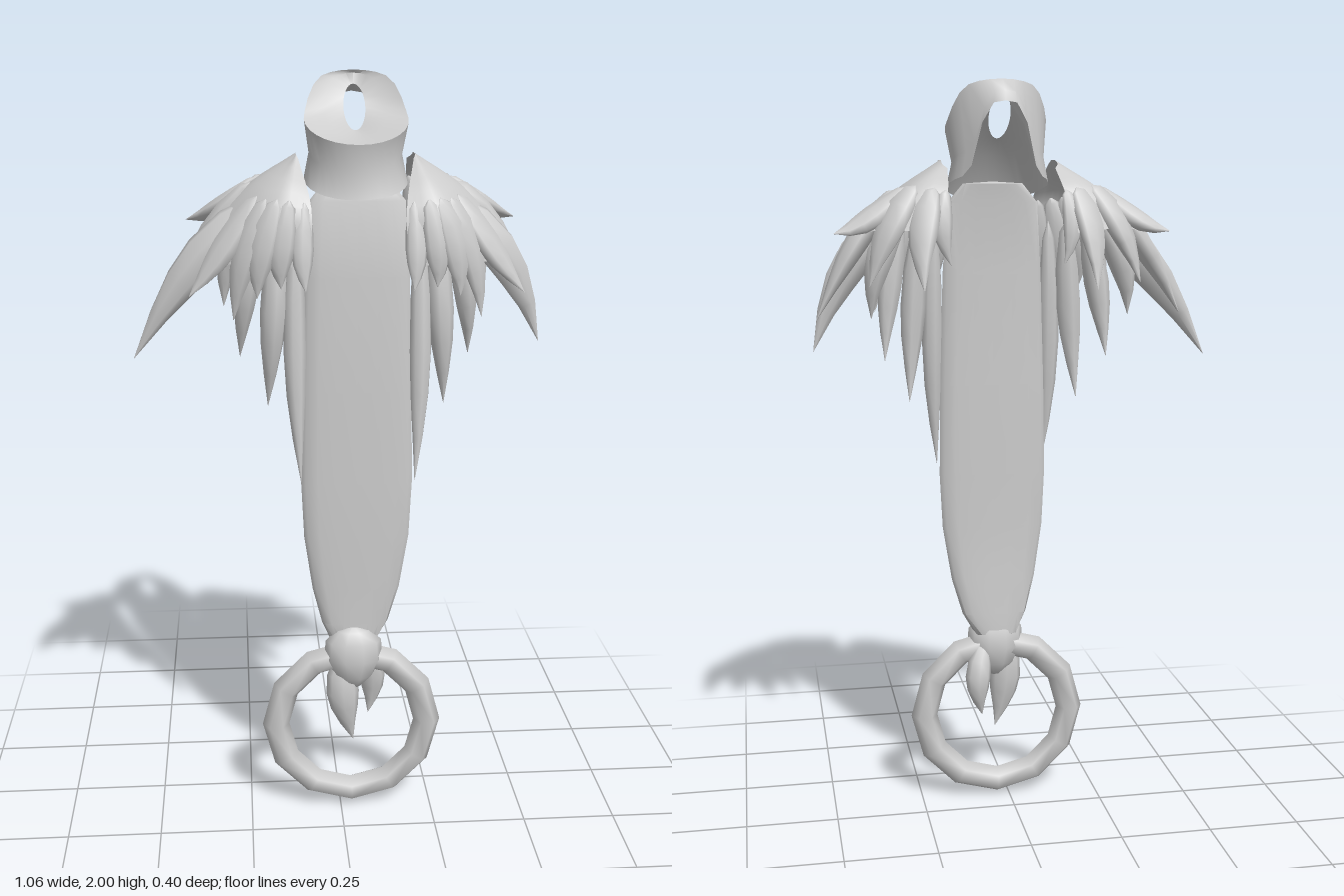
import * as THREE from 'three';
import { toCreasedNormals } from 'three/addons/utils/BufferGeometryUtils.js';

const V = (x, y, z) => new THREE.Vector3(x, y, z);
const grey = new THREE.MeshStandardMaterial({ color: 0xcccccc, side: THREE.DoubleSide });
grey.name = 'plain grey';

// Skin a list of equal-length rows of points
function loft(rows, closed = true, crease = 0) {
  const n = rows[0].length, index = [], m = closed ? n : n - 1;
  for (let i = 0; i < rows.length - 1; i++)
    for (let j = 0; j < m; j++) {
      const a = i * n + j, b = i * n + ((j + 1) % n);
      index.push(a, b, a + n, b, b + n, a + n);
    }
  const g = new THREE.BufferGeometry().setFromPoints(rows.flat());
  g.setIndex(index);
  g.computeVertexNormals();
  return crease ? toCreasedNormals(g, crease) : g;
}

function add(parent, geometry, name) {
  const mesh = new THREE.Mesh(geometry, grey);
  mesh.name = name;
  parent.add(mesh);
  return mesh;
}

// Curved, flattened leaf that swells then runs to a sharp point
function leaf(root, ctrl, tip, width, thick, out) {
  const curve = new THREE.QuadraticBezierCurve3(root, ctrl, tip);
  const profile = [[0, 0.02], [0.06, 0.55], [0.25, 0.92], [0.45, 1], [0.62, 0.84], [0.8, 0.48], [1, 0.01]];
  return loft(profile.map(([t, s]) => {
    const p = curve.getPoint(t), tan = curve.getTangent(t);
    const side = V().crossVectors(out, tan).normalize();
    const nrm = V().crossVectors(tan, side).normalize();
    return Array.from({ length: 8 }, (_, k) => {
      const a = k / 8 * Math.PI * 2;
      return p.clone().addScaledVector(side, Math.cos(a) * width * s).addScaledVector(nrm, Math.sin(a) * thick * s);
    });
  }));
}

// Shoulder drape columns, front to back: distance from the centre line, height, depth
const COLUMNS = [
  [[.145, 1.79, .06], [.118, 1.68, .16], [.122, 1.53, .185]],
  [[.15, 1.80, .05], [.19, 1.69, .165], [.235, 1.55, .17]],
  [[.15, 1.80, .04], [.25, 1.69, .13], [.33, 1.54, .13]],
  [[.15, 1.80, .03], [.28, 1.71, .04], [.40, 1.57, .04]],
  [[.15, 1.80, .00], [.27, 1.72, -.03], [.38, 1.61, -.05]],
  [[.15, 1.79, -.03], [.23, 1.73, -.10], [.31, 1.63, -.12]],
  [[.14, 1.78, -.05], [.15, 1.72, -.125], [.18, 1.62, -.15]],
];

// Feathers growing out of the drape: place along it, tip, half width
const RIM_FEATHERS = [
  [.04, [.135, 1.48, .20], .028], [.13, [.195, 1.485, .18], .036], [.21, [.255, 1.46, .17], .04],
  [.29, [.315, 1.40, .14], .04], [.37, [.425, 1.46, .135], .042], [.60, [.48, 1.40, -.05], .055],
  [.74, [.435, 1.62, -.10], .042], [.82, [.35, 1.49, -.13], .045], [.93, [.22, 1.48, -.20], .04],
  [.99, [.145, 1.54, -.145], .026],
];

// Feathers hanging beneath it: root, bend, tip, half width
const UNDER_FEATHERS = [
  [[.155, 1.64, .11], [.17, 1.25, .135], [.148, .97, .16], .029],
  [[.20, 1.64, .09], [.215, 1.38, .14], [.23, 1.16, .085], .036],
  [[.25, 1.64, .06], [.29, 1.46, .08], [.30, 1.28, .03], .036],
  [[.25, 1.68, -.03], [.34, 1.56, -.05], [.34, 1.40, -.04], .042],
];

function shoulder(side, farTip) {
  const g = new THREE.Group();
  const place = ([d, y, z]) => V(0.042 + side * d, y, z);
  const outward = p => V(p.x - 0.042 - side * 0.13, 0.02, p.z).normalize();
  const lines = [0, 1, 2].map(r => new THREE.CatmullRomCurve3(COLUMNS.map(c => place(c[r]))));
  const column = u => new THREE.CatmullRomCurve3(lines.map(l => l.getPoint(u)));
  add(g, loft(Array.from({ length: 25 }, (_, i) => column(i / 24).getPoints(8)), false), 'shoulderDrape');
  RIM_FEATHERS.forEach(([u, tip, w]) => {
    const c = column(u), root = c.getPoint(0.45);
    add(g, leaf(root, c.getPoint(0.95), place(tip), w, w * 0.55, outward(root)), 'rimFeather');
  });
  UNDER_FEATHERS.forEach(([a, b, c, w]) => {
    add(g, leaf(place(a), place(b), place(c), w, w * 0.9, outward(place(a))), 'hangingFeather');
  });
  // Outermost long feather, broad side to the front
  const out = V(side * 0.5, 0, 0.85).normalize();
  add(g, leaf(place([.22, 1.69, .05]), place([.41, 1.58, .05]), place(farTip), .055, .04, out), 'farFeather');
  return g;
}

export function createModel() {
  const model = new THREE.Group();

  // Long flat strap: height, centre x, half width, depth, half thickness
  const strap = [
    [1.745, .043, .002, .08, .002], [1.74, .043, .08, .08, .012], [1.69, .043, .122, .09, .015], [1.5, .043, .134, .10, .018],
    [1.2, .043, .143, .102, .02], [.95, .043, .147, .105, .021], [.8, .043, .14, .105, .021],
    [.65, .042, .117, .103, .022], [.55, .04, .09, .098, .026], [.49, .036, .06, .098, .028], [.47, .035, .002, .1, .002],
  ].map(([y, x, w, z, t]) => Array.from({ length: 16 }, (_, k) => {
    const a = k / 16 * Math.PI * 2, c = Math.cos(a), s = Math.sin(a);
    return V(x + w * c, y, z + t * Math.sign(s) * Math.pow(Math.abs(s), 0.5));
  }));
  add(model, loft(strap, true, 0.9), 'strap');

  // Hooded collar: low lip in front, high arch open at the back
  const ring = f => Array.from({ length: 28 }, (_, k) => {
    const a = k / 28 * Math.PI * 2;
    return f(Math.sin(a), Math.cos(a));
  });
  const cx = 0.045;
  const lift = c => 0.17 * THREE.MathUtils.smoothstep(-c, 0.72, 1);
  const peak = c => 0.06 * THREE.MathUtils.smoothstep(-c, 0.1, 0.85);
  const square = c => Math.sign(c) * Math.pow(Math.abs(c), c > 0 ? 0.6 : 1);
  const lower = ring((s, c) => V(cx + .132 * s, 1.735 - .04 * c + lift(c), .128 * square(c)));
  const waist = ring((s, c) => V(cx + .119 * s, 1.80 - .035 * c + lift(c) * .8, -.003 + .118 * c));
  const crest = ring((s, c) => V(cx + .132 * s, 1.885 - .055 * c + peak(c), .025 + .104 * c));
  const brow = ring((s, c) => V(cx + .08 * s, 1.895 - .055 * c + peak(c) * .7, -.012 + .073 * c));
  const hole = ring((s, c) => V(cx + .028 * s, 1.91 - .055 * c, -.036 + .04 * c));
  const inside = ring((s, c) => V(cx + .09 * s, 1.85 - .04 * c + lift(c) * .4, -.01 + .085 * c));
  add(model, loft([lower, waist, crest, brow, hole], true, 0.9), 'collar');
  add(model, loft([hole, inside, lower], true), 'collarLining');

  // Feathered shoulders, slightly different at the outermost tip
  const left = shoulder(1, [.487, 1.31, .03]);
  const right = shoulder(-1, [.575, 1.28, .03]);
  left.name = 'leftShoulder';
  right.name = 'rightShoulder';
  model.add(left, right);

  // Hanging ring
  const hoop = new THREE.TorusGeometry(0.21, 0.037, 6, 12);
  add(model, hoop, 'ring').position.set(0.031, 0.25, 0.108);

  // Knot and its two loose tails
  const front = V(0, 0, 1);
  const knot = [[.545, .002, .002], [.53, .045, .03], [.50, .076, .048], [.45, .08, .056], [.40, .055, .046], [.365, .02, .02], [.355, .002, .002]]
    .map(([y, w, t]) => Array.from({ length: 10 }, (_, k) => {
      const a = k / 10 * Math.PI * 2;
      return V(.035 + w * Math.cos(a), y, .115 + t * Math.sin(a));
    }));
  add(model, loft(knot), 'knot');
  add(model, leaf(V(.01, .46, .115), V(-.01, .34, .13), V(.035, .2, .12), .045, .033, front), 'longTail');
  add(model, leaf(V(.07, .46, .09), V(.11, .36, .05), V(.08, .255, .07), .036, .028, front), 'shortTail');

  return model;
}
